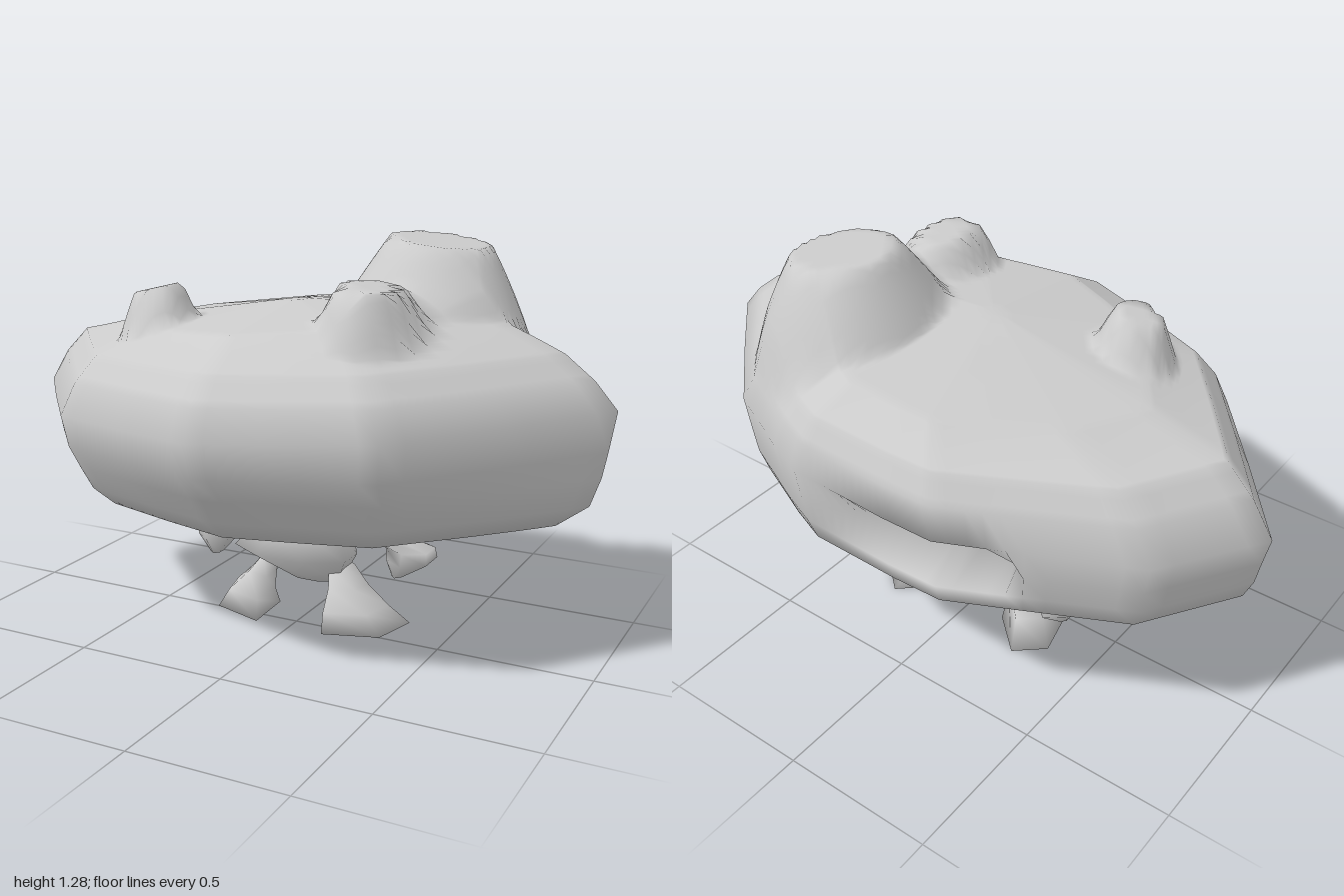
import * as THREE from 'three';

const material = new THREE.MeshStandardMaterial({ color: 0xcccccc, side: THREE.DoubleSide });

// Closed smooth skin over rings listed from bottom to top
function loft(name, rings) {
  const n = rings[0].length, pos = [], idx = [];
  rings.forEach(r => r.forEach(p => pos.push(...p)));
  const cap = ring => {
    const c = [0, 1, 2].map(k => ring.reduce((s, p) => s + p[k], 0) / n);
    pos.push(...c);
    return pos.length / 3 - 1;
  };
  for (let r = 0; r < rings.length - 1; r++) {
    for (let i = 0; i < n; i++) {
      const j = (i + 1) % n, a = r * n + i, b = r * n + j;
      idx.push(a, b + n, b, a, a + n, b + n);
    }
  }
  const low = cap(rings[0]), high = cap(rings[rings.length - 1]), t = (rings.length - 1) * n;
  for (let i = 0; i < n; i++) {
    const j = (i + 1) % n;
    idx.push(low, i, j, high, t + j, t + i);
  }
  const g = new THREE.BufferGeometry();
  g.setAttribute('position', new THREE.Float32BufferAttribute(pos, 3));
  g.setIndex(idx);
  g.computeVertexNormals();
  const mesh = new THREE.Mesh(g, material);
  mesh.name = name;
  return mesh;
}

// Horizontal elliptical section
function section([x, y, z, rx, rz], n) {
  return Array.from({ length: n }, (_, i) => {
    const a = ((i + 0.5) / n) * Math.PI * 2;
    return [x - Math.cos(a) * rx, y, z - Math.sin(a) * rz];
  });
}
const blob = (name, sections, n = 6) => loft(name, sections.map(s => section(s, n)));

// Points between a and b, starting at a
const between = (a, b, steps) => Array.from({ length: steps }, (_, k) => a.map((v, i) => v + (b[i] - v) * k / steps));

// Lumps that rise out of the crown: x, z, foot radii, flat share, top height, tilt along x
const lumps = [
  [0.39, -0.225, 0.29, 0.315, 0.54, 1.265, -0.12],
  [0.345, 0.2, 0.15, 0.2, 0.62, 1.17, -0.1],
  [-0.39, 0.19, 0.125, 0.125, 0.6, 1.12, 0.25]];

function raise(x, y, z) {
  return lumps.reduce((h, [cx, cz, rx, rz, flat, top, tilt]) => {
    const d = Math.hypot((x - cx) / rx, (z - cz) / rz);
    const t = THREE.MathUtils.clamp((1 - d) / (1 - flat), 0, 1);
    return Math.max(h, y + (top + tilt * (x - cx) - y) * t);
  }, y);
}

// Wide, lopsided head with a mouth pressed into the -z side
function head() {
  const corners = [[-1, -0.05], [-0.8, -0.37], [-0.5, -0.53], [-0.27, -0.65], [-0.1, -0.66], [0.06, -0.66],
    [0.23, -0.66], [0.36, -0.61], [0.6, -0.5], [0.8, -0.3], [1, -0.09], [0.77, 0.2], [0.51, 0.51],
    [0.25, 0.59], [-0.01, 0.66], [-0.29, 0.57], [-0.58, 0.46], [-0.79, 0.21]];
  const outline = corners.flatMap((p, i) => between(p, corners[(i + 1) % corners.length], 5));
  // height, width scale, depth scale at +z and at -z, tilt along x
  const rows = [[0.385, 0.15, 0.1, 0.2, 0], [0.44, 0.84, 0.7, 0.76, 0.01], [0.5, 0.935, 0.78, 0.92, 0.02],
    [0.58, 0.965, 0.86, 0.965, 0.03], [0.66, 0.98, 0.96, 0.98, 0.03], [0.77, 1, 1, 1, 0.045],
    [0.865, 0.93, 0.95, 0.97, 0.035], [0.945, 0.84, 0.85, 0.91, 0.03], [1.035, 0.58, 0.62, 0.76, 0.08],
    [1.085, 0.05, 0.05, 0.05, 0.09]];
  const upper = rows.slice(6, -1).flatMap((row, i) => between(row, rows[i + 7], i < 1 ? 4 : 16));
  const all = [...rows.slice(0, 6), ...upper, rows[rows.length - 1]];
  return loft('head', all.map(([y, sx, front, back, tilt], r) => outline.map(([x, z]) => {
    // The mouth is deepest towards -x and fades out at its ends
    const mouth = z < -0.4 ? THREE.MathUtils.smoothstep(x, -0.5, -0.38) * (1 - THREE.MathUtils.smoothstep(x, -0.25, 0.25)) : 0;
    const push = r === 4 ? 0.18 * mouth : 0;
    const px = x * sx, pz = z * (z > 0 ? front : back) + push;
    return [px, r > 5 ? raise(px, y + px * tilt, pz) : y + px * tilt, pz];
  })));
}

export function createModel() {
  const model = new THREE.Group();
  model.add(head());

  // Small body, widening into the underside of the head
  model.add(blob('torso', [
    [0.02, 0.14, -0.1, 0.1, 0.06],
    [-0.03, 0.24, -0.05, 0.22, 0.13],
    [0, 0.33, -0.06, 0.16, 0.12],
    [0, 0.39, -0.08, 0.14, 0.11],
    [0, 0.45, -0.13, 0.2, 0.2]], 8));

  // Arms, hand upwards to shoulder
  model.add(blob('rightArm', [
    [-0.38, 0.15, -0.13, 0.02, 0.03],
    [-0.37, 0.22, -0.14, 0.07, 0.1],
    [-0.37, 0.29, -0.13, 0.06, 0.07],
    [-0.28, 0.32, -0.11, 0.07, 0.05],
    [-0.13, 0.39, -0.08, 0.07, 0.05]]));
  model.add(blob('leftArm', [
    [0.31, 0.18, -0.13, 0.02, 0.04],
    [0.35, 0.24, -0.14, 0.08, 0.1],
    [0.35, 0.28, -0.13, 0.08, 0.08],
    [0.25, 0.32, -0.11, 0.07, 0.05],
    [0.13, 0.38, -0.08, 0.07, 0.05]]));

  // Legs with long feet pointing outwards and towards -z
  const sole = [[0.12, 0.06], [0.3, 0], [0.34, -0.16], [0.25, -0.24], [0.13, -0.13]];
  const levels = [[0.005, 1, 0.22, -0.09], [0.075, 0.74, 0.195, -0.06], [0.14, 0.45, 0.16, -0.07], [0.2, 0.3, 0.13, -0.08]];
  for (const [side, name] of [[-1, 'rightLeg'], [1, 'leftLeg']]) {
    const rings = levels.map(([y, s, cx, cz]) => {
      const ring = sole.map(([x, z]) => [side * (cx + (x - 0.22) * s), y, cz + (z + 0.09) * s]);
      return side > 0 ? ring.reverse() : ring;
    });
    model.add(loft(name, rings));
  }
  return model;
}
